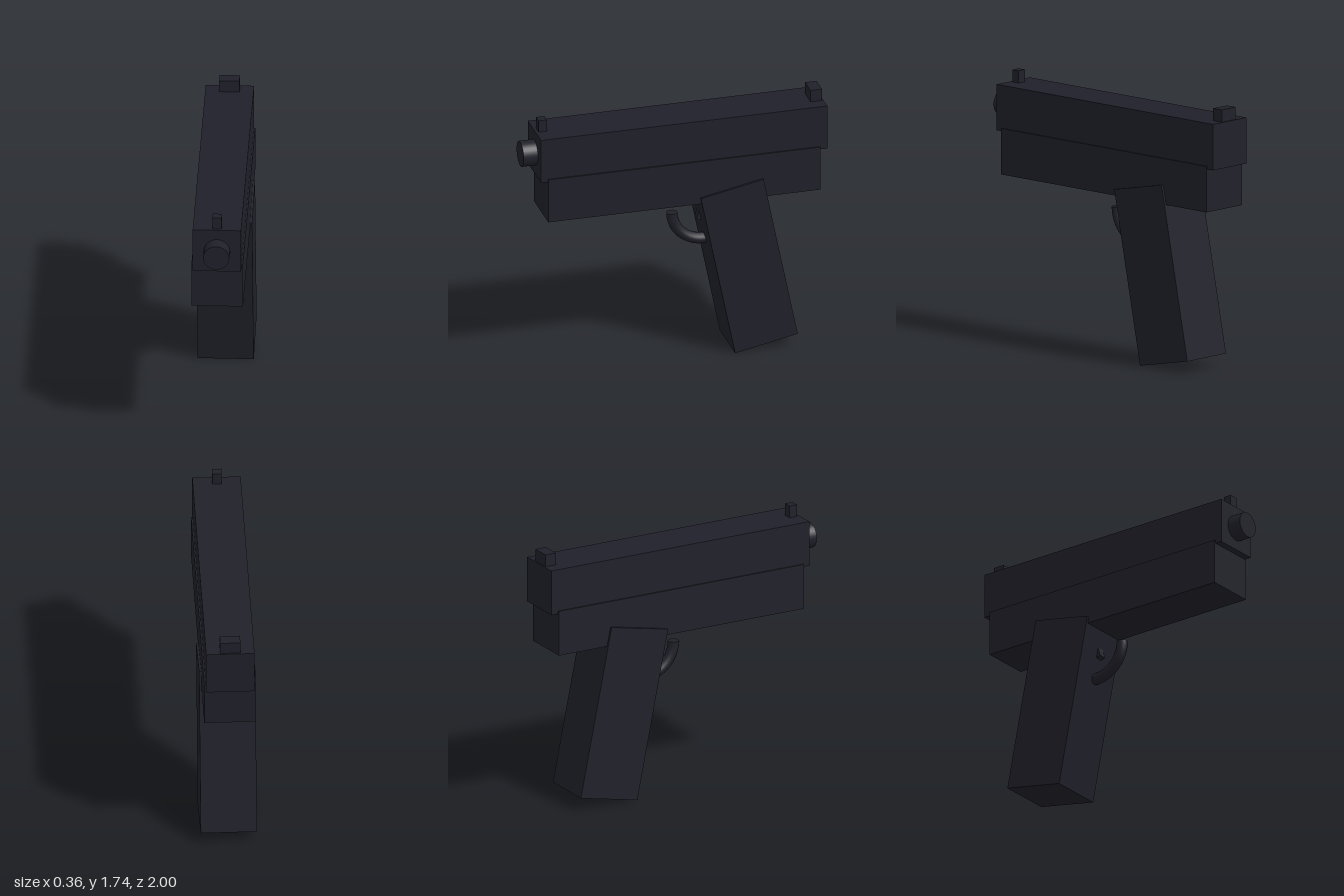
import * as THREE from 'three';

export function createModel() {
  const model = new THREE.Group();
  model.name = 'model';
  const darkMetal = new THREE.MeshStandardMaterial({ color: 0x20202a });
  darkMetal.name = 'dark metal';

  const add = (name, geometry, x, y, z, tilt = 0) => {
    const mesh = new THREE.Mesh(geometry, darkMetal);
    mesh.name = name;
    mesh.position.set(x, y, z);
    mesh.rotation.x = tilt;
    model.add(mesh);
    return mesh;
  };
  const box = (name, w, h, d, y, z, tilt) =>
    add(name, new THREE.BoxGeometry(w, h, d), 0, y, z, tilt);

  // Upper slide and the frame under it
  box('slide', 0.31, 0.3, 1.905, 1.51, -0.0475);
  box('frame', 0.33, 0.3, 1.81, 1.23, -0.045);

  // Raked handle
  box('grip', 0.36, 1.143, 0.425, 0.606, -0.474, 0.2);

  // Sights on top of the slide
  box('frontSight', 0.06, 0.1, 0.055, 1.69, 0.858);
  box('rearSight', 0.13, 0.1, 0.077, 1.69, -0.952);

  // Barrel end
  add('muzzle', new THREE.CylinderGeometry(0.084, 0.084, 0.2, 32), 0, 1.508, 0.9, Math.PI / 2);

  // Trigger, leaning back into the grip
  box('trigger', 0.05, 0.18, 0.06, 0.984, -0.221, -0.3);

  // Curved guard: lower half ring in the yz plane, with a closed front end
  const guard = new THREE.TorusGeometry(0.205, 0.037, 12, 20, Math.PI);
  guard.rotateZ(Math.PI).rotateY(Math.PI / 2);
  add('triggerGuard', guard, 0, 0.967, -0.214);
  add('triggerGuardEnd', new THREE.CircleGeometry(0.037, 12), 0, 0.967, -0.009, -Math.PI / 2);

  return model;
}
